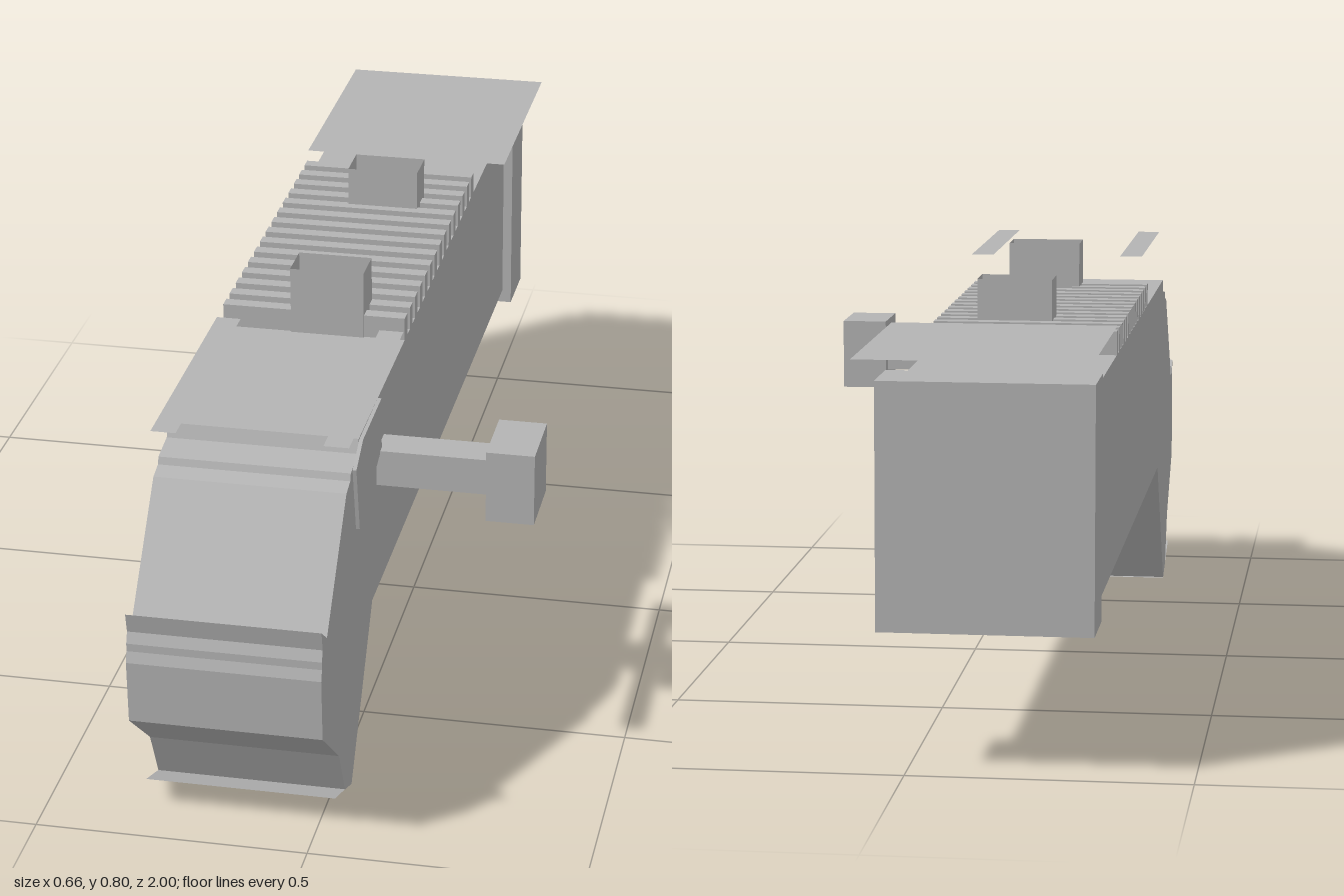
import * as THREE from 'three';

const grey = new THREE.MeshStandardMaterial({ color: 0xb4b4b4 });
grey.name = 'grey';
grey.flatShading = true;
grey.side = THREE.DoubleSide;

const X0 = -0.32, X1 = 0.03, MID = -0.145;

export function createModel() {
  const model = new THREE.Group();
  model.name = 'blockyLauncher';

  const add = (name, geometry) => {
    const mesh = new THREE.Mesh(geometry, grey);
    mesh.name = name;
    model.add(mesh);
    return mesh;
  };

  // Box given by its limits on each axis
  const box = (name, x0, x1, y0, y1, z0, z1) => add(name,
    new THREE.BoxGeometry(x1 - x0, y1 - y0, z1 - z0)
      .translate((x0 + x1) / 2, (y0 + y1) / 2, (z0 + z1) / 2));

  // Side profile of [z, y] points, extruded from x0 to x1
  const profile = (name, points, x0, x1, hole) => {
    const toVectors = list => list.map(([z, y]) => new THREE.Vector2(z, y));
    const shape = new THREE.Shape(toVectors(points));
    if (hole) shape.holes.push(new THREE.Path(toVectors(hole)));
    const geometry = new THREE.ExtrudeGeometry(shape, { depth: x1 - x0, bevelEnabled: false });
    return add(name, geometry.rotateY(-Math.PI / 2).translate(x1, 0, 0));
  };

  // Flat horizontal sheet
  const sheet = (name, x0, x1, y, z0, z1) => add(name,
    new THREE.PlaneGeometry(x1 - x0, z1 - z0).rotateX(-Math.PI / 2)
      .translate((x0 + x1) / 2, y, (z0 + z1) / 2));

  // Main body with angled grip and stepped rear
  profile('body', [
    [-0.87, 0.283], [0.56, 0.283], [0.757, 0.005], [0.815, 0.028], [0.863, 0.128],
    [0.995, 0.24], [1.0, 0.36], [0.993, 0.38], [0.993, 0.395], [0.985, 0.415],
    [0.993, 0.453], [0.95, 0.42], [0.778, 0.615], [0.745, 0.623], [0.74, 0.636],
    [0.68, 0.645], [0.67, 0.67], [-0.87, 0.67],
  ], X0, X1);

  // Sloping flap under the grip
  const flap = sheet('gripFlap', X0, X1, 0, -0.078, 0.078);
  flap.position.set(0, 0.033, 0.826);
  flap.rotation.x = -Math.atan2(0.055, 0.145);

  // Front block and the sheet above it
  box('frontBlock', -0.328, 0.049, 0.256, 0.691, -1, -0.87);
  sheet('topSheet', -0.323, 0.09, 0.727, -1, -0.515);

  // Rail teeth along the top
  for (let i = 0; i < 15; i++) {
    const z = 0.245 - i * 0.0507;
    box('railTooth', X0, X1, 0.668, 0.714, z - 0.026, z);
  }

  // Open-topped sight boxes
  for (const [name, y, z] of [['rearSight', 0.8, 0.21], ['frontSight', 0.79, -0.32]]) {
    const half = 0.07, depth = 0.039, h = y - 0.67;
    const walls = new THREE.Group();
    walls.name = name;
    for (const side of [-1, 1]) {
      const end = new THREE.Mesh(new THREE.PlaneGeometry(half * 2, h), grey);
      end.name = 'sightEnd';
      end.position.z = side * depth;
      if (side < 0) end.rotation.y = Math.PI;
      const wall = new THREE.Mesh(new THREE.PlaneGeometry(depth * 2, h), grey);
      wall.name = 'sightWall';
      wall.position.x = side * half;
      wall.rotation.y = side * Math.PI / 2;
      walls.add(end, wall);
    }
    walls.position.set(-0.118, 0.67 + h / 2, z);
    model.add(walls);
  }

  // Thin strips above the rear
  sheet('rightStrip', -0.297, -0.252, 0.752, 0.385, 0.87);
  sheet('leftStrip', 0.01, 0.055, 0.752, 0.385, 0.87);

  // Side handle with a square knob and its side plate
  box('handleRod', X1, 0.24, 0.5, 0.57, 0.445, 0.515);
  box('handleKnob', 0.24, 0.329, 0.466, 0.605, 0.415, 0.553);
  profile('sidePlate', [[0.7, 0.505], [0.725, 0.635], [0.665, 0.667], [0.5, 0.67], [0.5, 0.57]], X1, 0.037);

  // Guard loop and curved trigger
  profile('triggerGuard',
    [[0.212, 0.284], [0.196, 0.102], [0.018, 0.102], [0.03, 0.284]],
    MID - 0.05, MID + 0.05,
    [[0.196, 0.27], [0.182, 0.118], [0.034, 0.118], [0.044, 0.27]]);
  profile('trigger',
    [[0.147, 0.28], [0.147, 0.2], [0.132, 0.165], [0.107, 0.146], [0.1, 0.156], [0.122, 0.18], [0.133, 0.21], [0.133, 0.28]],
    MID - 0.02, MID + 0.02);

  // Small block under the front
  box('underBlock', MID - 0.04, MID + 0.04, 0.213, 0.284, -0.68, -0.6);

  return model;
}
